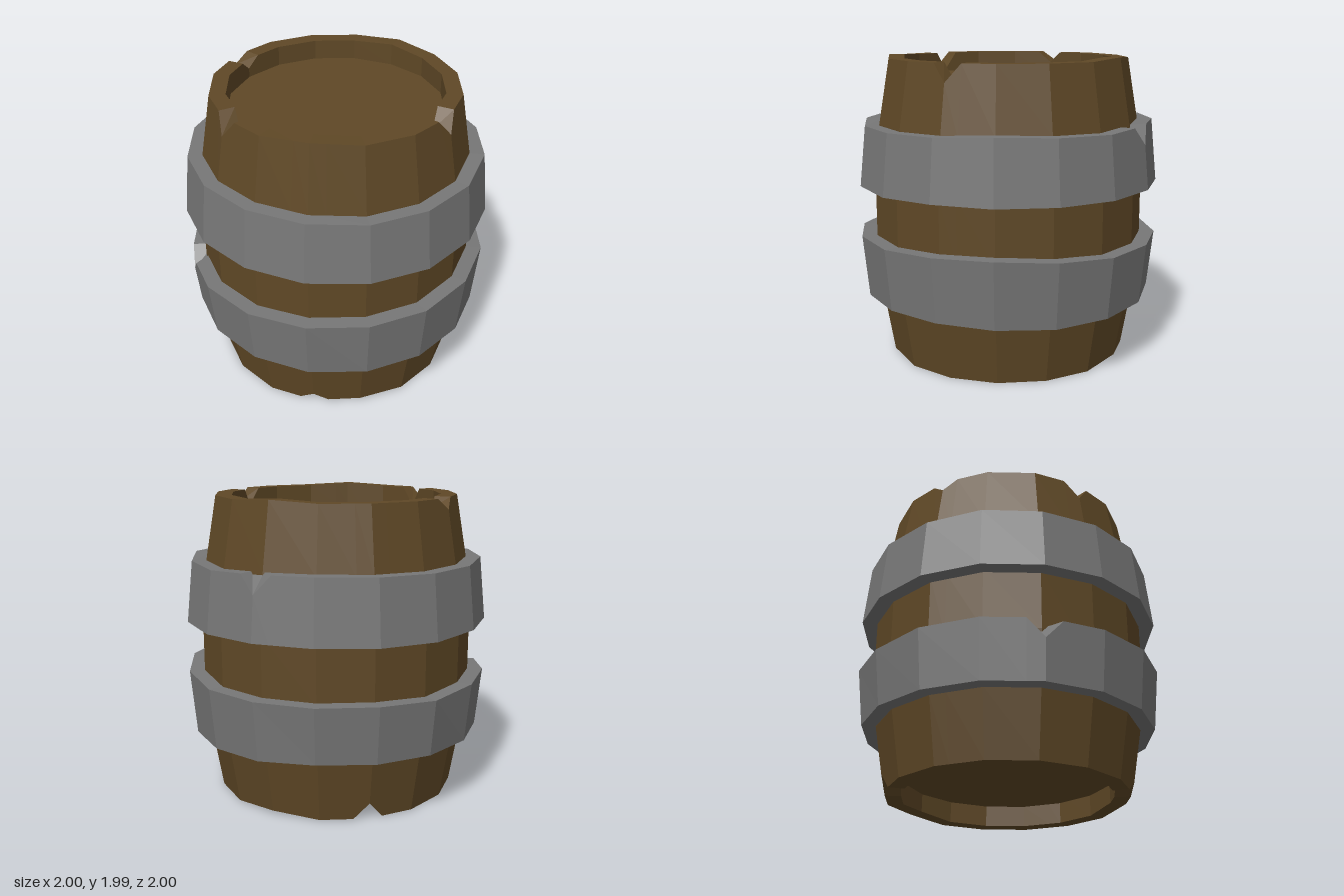
import * as THREE from 'three';

const SIDES = 16;
const STEP = (Math.PI * 2) / SIDES;

// Height offset (in hundredths) at a fractional corner index, 0 = +x, 4 = +z
function offsetAt(table, u) {
  const i = Math.floor(u), t = u - i;
  const a = table[(i + SIDES) % SIDES], b = table[(i + 1) % SIDES];
  return (a + (b - a) * t) / 100;
}

// Corner columns, with two extra columns beside every notched corner
function columns(notched, half) {
  const list = [];
  for (let k = 0; k < SIDES; k++) {
    if (notched.includes(k)) list.push(k - half, k, k + half);
    else list.push(k);
  }
  return list;
}

// Sweeps section(u) -> [[radius, y], ...] around the 16-sided ring
function sweep(cols, section) {
  const rings = cols.map((u) => {
    const off = (u - Math.floor(u) - 0.5) * STEP;
    const flat = Math.cos(STEP / 2) / Math.cos(off); // stay on the flat facet
    return section(u).map(([r, y]) =>
      [r * flat * Math.cos(u * STEP), y, r * flat * Math.sin(u * STEP)]);
  });
  const pos = [];
  rings.forEach((a, i) => {
    const b = rings[(i + 1) % rings.length];
    for (let j = 0; j < a.length - 1; j++) {
      pos.push(...a[j], ...a[j + 1], ...b[j + 1], ...a[j], ...b[j + 1], ...b[j]);
    }
  });
  const geo = new THREE.BufferGeometry();
  geo.setAttribute('position', new THREE.Float32BufferAttribute(pos, 3));
  geo.computeVertexNormals();
  return geo;
}

export function createModel() {
  const group = new THREE.Group();
  const wood = new THREE.MeshStandardMaterial({ color: 0x5f4826, flatShading: true });
  const metal = new THREE.MeshStandardMaterial({ color: 0x777777, flatShading: true });
  const add = (name, geo, mat) => {
    const mesh = new THREE.Mesh(geo, mat);
    mesh.name = name;
    group.add(mesh);
    return mesh;
  };

  // Bulging staves with a raised, chipped rim at both ends
  const INNER = 0.69, HEIGHT = 1.97;
  const topChips = { 3: 0.115, 8: 0.12, 11: 0.07 };
  const bottomChips = { 6: 0.07, 13: 0.11 };
  const topWave = [0, 0, 0, 0, 0, 0, 1.5, 0, 0, 0, 0, 0, 0, 0, 0, 1.5];
  const bottomWave = [0, 0, 0, 0, 0, 2, 0, 0, 0, 0, 0, 0, 0, 0, 0, 2];
  const chipped = [...Object.keys(topChips), ...Object.keys(bottomChips)].map(Number);
  const taper = (d) => 0.795 + d * 0.17; // radius at distance d from an end
  add('staves', sweep(columns(chipped, 0.31), (u) => {
    const low = offsetAt(bottomWave, u) + (bottomChips[u] || 0);
    const drop = (topChips[u] || 0) - offsetAt(topWave, u);
    return [
      [INNER, 0.14], [INNER, low], [taper(low), low],
      [0.867, 0.42], [0.9, 0.78], [0.9, 1.19], [0.867, 1.55],
      [taper(drop), HEIGHT - drop], [INNER, HEIGHT - drop], [INNER, 1.84],
    ];
  }), wood);

  // Recessed round heads
  for (const [name, y, dir] of [['topHead', 1.84, -1], ['bottomHead', 0.14, 1]]) {
    const head = add(name, new THREE.CircleGeometry(INNER, SIDES), wood);
    head.rotation.x = dir * Math.PI / 2;
    head.position.y = y;
  }

  // Uneven metal hoops, each with one dent in its upper edge
  const hoops = [
    {
      name: 'upperHoop', bottom: 1.155, top: 1.55, rBottom: 1, rTop: 0.96, dent: 15,
      bottomWave: [0, 0, 0, 0.5, -0.5, 0, 0.5, 1, 0.5, 0, 0, 0, -0.5, 0, 0.5, 0.5],
      topWave: [0, 0.5, 1.5, 0, -0.5, -0.5, 0.5, 1, 1, 1, 1.5, 1, 1, 1.5, 2, 1.5],
    },
    {
      name: 'lowerHoop', bottom: 0.41, top: 0.8, rBottom: 0.96, rTop: 1, dent: 9,
      bottomWave: [-1, -1.5, -0.5, 0.5, 0.5, 0.5, 0.5, 0.5, 0.5, 0.5, 0.5, 0.5, 1, 1.5, 2, 0],
      topWave: [0, 2, 4, 3.5, 2, 2, 1.5, 0.5, 0, 0, 0, 0, -1.5, 0, 0, 0],
    },
  ];
  for (const h of hoops) {
    add(h.name, sweep(columns([h.dent], 0.29), (u) => {
      const low = h.bottom + offsetAt(h.bottomWave, u);
      const high = h.top + offsetAt(h.topWave, u);
      const dent = u === h.dent ? 0.12 : 0;
      const slope = (h.rTop - h.rBottom) / (h.top - h.bottom);
      return [
        [0.85, low], [h.rBottom, low],
        [h.rTop - slope * dent, high - dent], [0.85, high],
      ];
    }), metal);
  }
  return group;
}
